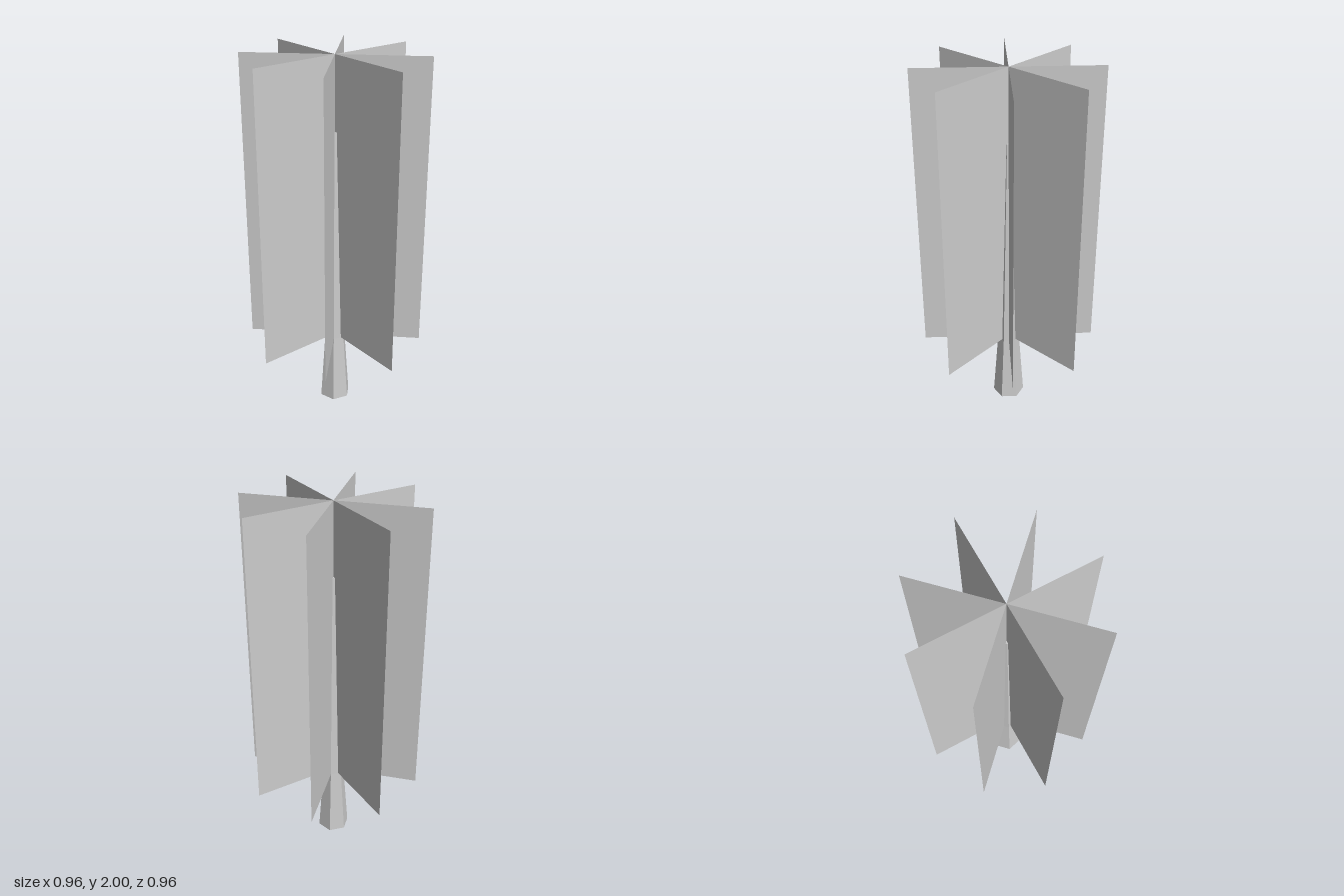
import * as THREE from 'three';

export function createModel() {
  const tree = new THREE.Group();
  tree.name = 'tree';

  // Six-sided trunk, tapering with a slight flare at the base
  const trunkMaterial = new THREE.MeshStandardMaterial({ color: 0xcccccc, flatShading: true });
  const profile = [[0, 0], [0.088, 0], [0.06, 0.4], [0.017, 1.605], [0, 1.605]];
  const trunk = new THREE.Mesh(
    new THREE.LatheGeometry(profile.map(([r, y]) => new THREE.Vector2(r, y)), 6),
    trunkMaterial
  );
  trunk.name = 'trunk';
  tree.add(trunk);

  // Four upright foliage cards crossing on the trunk axis
  const cardMaterial = new THREE.MeshStandardMaterial({ color: 0xcccccc, side: THREE.DoubleSide });
  const cardGeometry = new THREE.PlaneGeometry(0.96, 1.6);
  const foliage = new THREE.Group();
  foliage.name = 'foliage';
  for (let i = 0; i < 4; i++) {
    const card = new THREE.Mesh(cardGeometry, cardMaterial);
    card.name = `foliageCard${i + 1}`;
    card.position.y = 1.2;
    card.rotation.y = (i * Math.PI) / 4;
    foliage.add(card);
  }
  tree.add(foliage);

  return tree;
}
